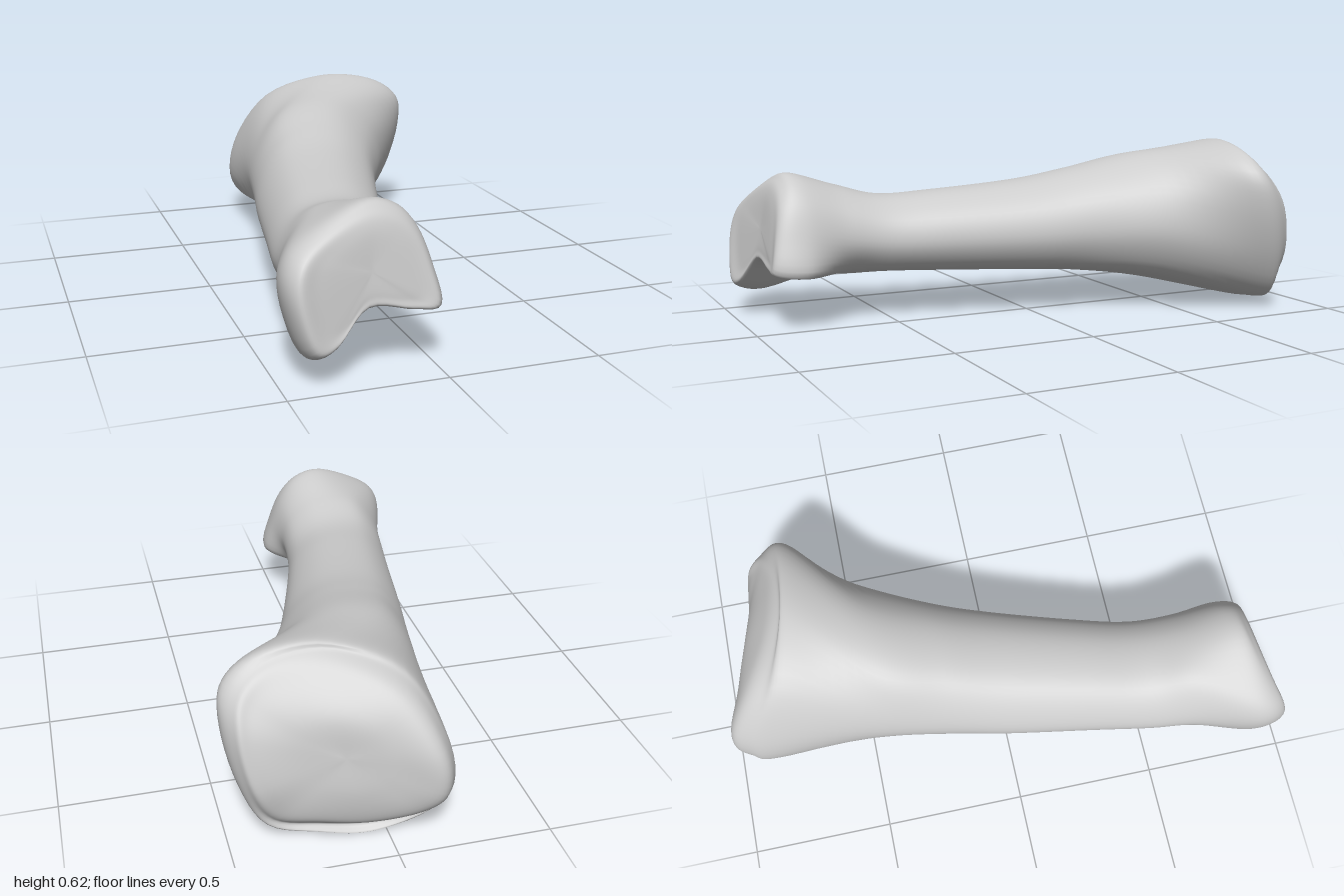
import * as THREE from 'three';
import { mergeVertices } from 'three/addons/utils/BufferGeometryUtils.js';

// Cross-sections run counter-clockwise seen from the front, starting low on the +x side.
const SHAFT = [[.75, .12], [.98, .4], [.87, .72], [.48, .94], [0, 1], [-.5, .92],
  [-.85, .68], [-1, .38], [-.82, .1], [-.4, 0], [0, 0], [.4, .03]];
const HEAD = [[.02, .19], [0, .31], [-.045, .43], [-.12, .505], [-.23, .52], [-.4, .445],
  [-.475, .37], [-.485, .26], [-.435, .105], [-.36, .1], [-.235, .21], [-.07, .185]];
const BASE = [[.37, .06], [.45, .2], [.487, .39], [.46, .52], [.33, .6], [.13, .615],
  [-.08, .53], [-.19, .34], [-.21, .17], [-.13, .07], [.05, .007], [.22, .02]];

// Rounded D-shaped section of the shaft, from its left, right, bottom and top limits
const shaftRing = (z, l, r, b, t) => SHAFT.map(([u, v]) =>
  new THREE.Vector3((l + r) / 2 + u * (r - l) / 2, b + v * (t - b), z));

// End section scaled about its centre, tilted and bent along x and y
const endRing = (pts, [cx, cy], scale, z, tiltX, tiltY, bendX, bendY) => pts.map(([x, y]) => {
  const dx = (x - cx) * scale, dy = (y - cy) * scale;
  return new THREE.Vector3(cx + dx, cy + dy,
    z + tiltX * dx + tiltY * dy + bendX * dx * dx + bendY * dy * dy);
});

// Smooth skin through closed rings ordered front to back
function loft(rings, around, along) {
  const rows = rings.map(r => {
    const c = new THREE.CatmullRomCurve3(r, true, 'catmullrom', 0.5);
    return Array.from({ length: around }, (_, j) => c.getPoint(j / around));
  });
  const pos = [], index = [];
  for (let j = 0; j < around; j++) {
    const c = new THREE.CatmullRomCurve3(rows.map(r => r[j]), false, 'catmullrom', 0.5);
    for (let i = 0; i <= along; i++) {
      const p = c.getPoint(i / along);
      pos.push(p.x, p.y, p.z);
    }
  }
  const at = (i, j) => (j % around) * (along + 1) + i;
  for (let j = 0; j < around; j++) for (let i = 0; i < along; i++) {
    const a = at(i, j), b = at(i, j + 1), c = at(i + 1, j), d = at(i + 1, j + 1);
    if (i > 0) index.push(a, c, b);
    if (i < along - 1) index.push(b, c, d);
  }
  const g = new THREE.BufferGeometry();
  g.setAttribute('position', new THREE.Float32BufferAttribute(pos, 3));
  g.setIndex(index);
  const merged = mergeVertices(g, 1e-5);
  merged.computeVertexNormals();
  return merged;
}

export function createModel() {
  const hc = [-.22, .33], bc = [.14, .31];
  const rings = [
    // head with two knuckles and a groove below
    endRing(HEAD, hc, 0, .925, 0, 0, 0, 0),
    endRing(HEAD, hc, .62, .925, -.12, -.14, .5, 0),
    endRing(HEAD, hc, .9, .91, -.12, -.18, .5, 0),
    endRing(HEAD, hc, 1, .835, -.12, -.05, 0, 0),
    // waisted shaft
    shaftRing(.66, -.43, -.015, .155, .475),
    shaftRing(.5, -.405, 0, .155, .435),
    shaftRing(.3, -.37, .05, .15, .445),
    shaftRing(0, -.32, .14, .14, .475),
    shaftRing(-.2, -.28, .21, .13, .515),
    shaftRing(-.43, -.24, .32, .1, .57),
    // broad base with a rounded rim and a slanted, slightly hollow end face
    endRing(BASE, bc, 1, -.755, .14, .25, 0, 0),
    endRing(BASE, bc, .93, -.88, .15, .2, 0, 1.2),
    endRing(BASE, bc, .78, -.915, .25, .2, 0, 1.4),
    endRing(BASE, bc, .42, -.9, .28, .12, 0, .8),
    endRing(BASE, bc, 0, -.89, 0, 0, 0, 0),
  ];

  const bone = new THREE.Mesh(loft(rings, 60, 112),
    new THREE.MeshStandardMaterial({ color: 0xcccccc }));
  bone.name = 'fingerBone';
  const group = new THREE.Group();
  group.name = 'bone';
  group.add(bone);
  return group;
}
